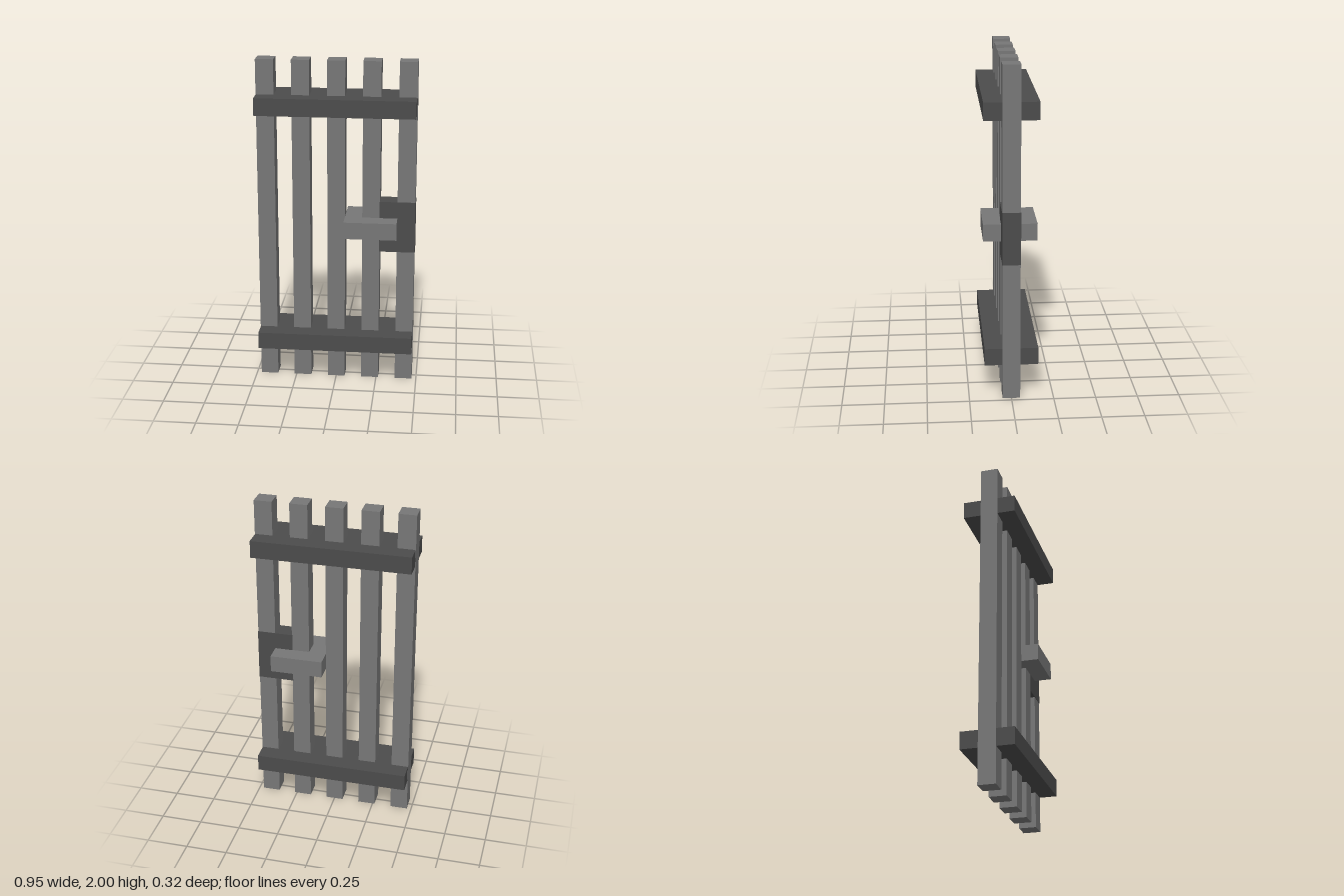
import * as THREE from 'three';

export function createModel() {
  const group = new THREE.Group();
  const iron = new THREE.MeshStandardMaterial({ color: 0x777777 });
  iron.name = 'light iron';
  const darkIron = new THREE.MeshStandardMaterial({ color: 0x4c4c4c });
  darkIron.name = 'dark iron';

  // Box given by its lower and upper bounds on each axis
  const box = (name, material, [x0, x1], [y0, y1], [z0, z1]) => {
    const mesh = new THREE.Mesh(new THREE.BoxGeometry(x1 - x0, y1 - y0, z1 - z0), material);
    mesh.position.set((x0 + x1) / 2, (y0 + y1) / 2, (z0 + z1) / 2);
    mesh.name = name;
    group.add(mesh);
  };

  // Five upright bars; the outer two stand flush with the rail ends
  for (let i = -2; i <= 2; i++) {
    const x = i * 0.21;
    box('uprightBar', iron, [x - 0.053, x + 0.053], [0, 2], [-0.052, 0.052]);
  }

  // Two thick rails enclosing the bars
  for (const y of [0.267, 1.74]) {
    box('crossRail', darkIron, [-0.471, 0.471], [y - 0.052, y + 0.052], [-0.158, 0.158]);
  }

  // Lock block wrapped round the last bar, with a handle through the gate
  box('lockBlock', darkIron, [0.26, 0.475], [0.84, 1.155], [-0.054, 0.054]);
  box('handle', iron, [0.053, 0.368], [0.95, 1.053], [-0.158, 0.158]);

  return group;
}
